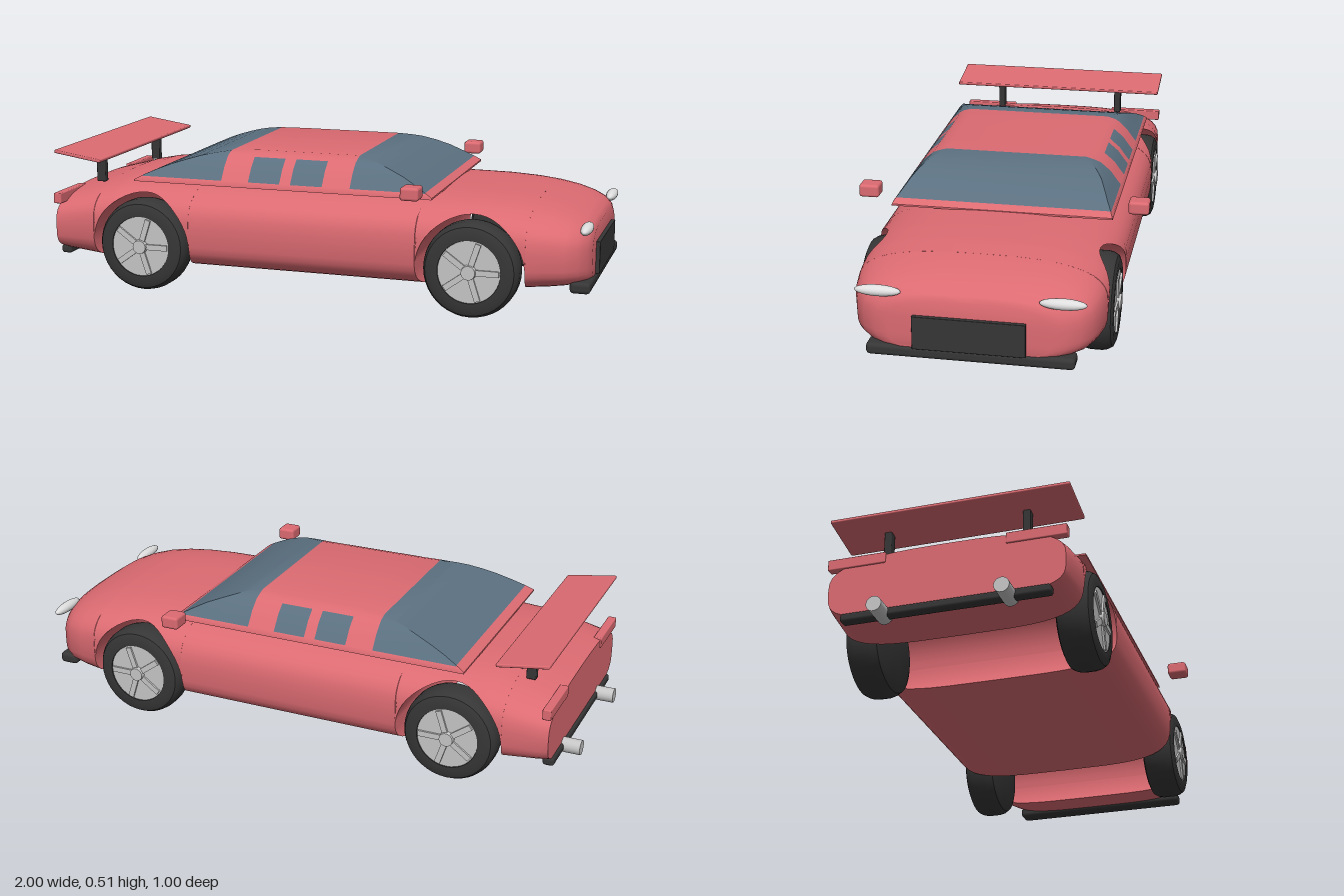
import * as THREE from 'three';
import { toCreasedNormals } from 'three/addons/utils/BufferGeometryUtils.js';
import { RoundedBoxGeometry } from 'three/addons/geometries/RoundedBoxGeometry.js';

const mat = (name, color) => new THREE.MeshStandardMaterial({ name, color });

// Piecewise linear lookup in a table of [key, value, value...]
function look(table, k, col = 1) {
  if (k <= table[0][0]) return table[0][col];
  for (let i = 1; i < table.length; i++) {
    const a = table[i - 1], b = table[i];
    if (k <= b[0]) return a[col] + (b[col] - a[col]) * (k - a[0]) / (b[0] - a[0]);
  }
  return table[table.length - 1][col];
}

// Skin half-rings (+z side, bottom to top), mirrored in z, capped at both ends.
// paint(x, row) gives the material index of each cell.
function loft(halves, paint = () => 0, crease = 0.55) {
  const K = halves[0].length, cells = [[], []];
  const rings = halves.map(h => [...h, ...h.slice().reverse().map(([x, y, z]) => [x, y, -z])]);
  const quad = (m, a, b, c, d) => cells[m].push(...a, ...b, ...c, ...a, ...c, ...d);
  for (let i = 0; i + 1 < rings.length; i++) {
    const r = rings[i], s = rings[i + 1];
    for (let j = 0; j < 2 * K; j++) {
      const n = (j + 1) % (2 * K), row = j < K ? j : 2 * K - 2 - j;
      quad(paint((r[j][0] + s[j][0]) / 2, row), r[j], s[j], s[n], r[n]);
    }
  }
  const first = rings[0], last = rings[rings.length - 1];
  for (let j = 0; j + 1 < K; j++) {
    const q = 2 * K - 1 - j;
    quad(0, first[q], first[j], first[j + 1], first[q - 1]);
    quad(0, last[j], last[q], last[q - 1], last[j + 1]);
  }
  const g = new THREE.BufferGeometry();
  g.setAttribute('position', new THREE.Float32BufferAttribute(cells[0].concat(cells[1]), 3));
  g.addGroup(0, cells[0].length / 3, 0);
  if (cells[1].length) g.addGroup(cells[0].length / 3, cells[1].length / 3, 1);
  return toCreasedNormals(g, crease);
}

// Body stations: x, half width, bottom, top
const BODY = [
  [-0.935, 0.398, 0.11, 0.332], [-0.9, 0.404, 0.104, 0.342], [-0.78, 0.412, 0.088, 0.374],
  [-0.7, 0.418, 0.08, 0.39], [-0.6, 0.422, 0.08, 0.395], [-0.4, 0.425, 0.08, 0.397],
  [0.5, 0.425, 0.08, 0.397], [0.6, 0.423, 0.08, 0.396], [0.7, 0.418, 0.082, 0.391],
  [0.787, 0.41, 0.09, 0.381], [0.85, 0.4, 0.097, 0.369], [0.91, 0.38, 0.104, 0.351],
  [0.95, 0.348, 0.11, 0.335], [0.975, 0.305, 0.114, 0.318], [0.986, 0.262, 0.12, 0.3],
];
const AXLES = [-0.593, 0.6], AXLE_Y = 0.165, ARCH_R = 0.186;

// Rounded half section, optionally cut off below a height
function section(x, cut = 0, xAt = () => x) {
  const [w, lo, hi] = [1, 2, 3].map(c => look(BODY, x, c));
  const mid = (lo + hi) / 2, h = (hi - lo) / 2;
  const power = s => (s < 0 ? 4.2 : 2.9);
  let t0 = -Math.PI / 2;
  if (cut > lo) {
    const s = (cut - mid) / h;
    t0 = Math.asin(Math.sign(s) * Math.abs(s) ** (power(s) / 2));
  }
  const pts = [];
  for (let i = 0; i <= 22; i++) {
    const t = t0 + (Math.PI / 2 - t0) * i / 22, s = Math.sin(t), e = 2 / power(s);
    const y = mid + h * Math.sign(s) * Math.abs(s) ** e;
    pts.push([xAt(y), y, w * Math.max(0, Math.cos(t)) ** e]);
  }
  return pts;
}

// Section whose lower part follows the wheel arch circle
const archEdge = (c, side) => section(c + side * ARCH_R, 0, y =>
  c + side * Math.sqrt(ARCH_R ** 2 - Math.min(0, y - AXLE_Y) ** 2));

const between = (a, b) => BODY.map(s => s[0]).filter(x => x > a + 0.005 && x < b - 0.005).map(x => section(x));

// Cabin profile along x, and half width by height
const ROOF = [[-0.63, 0.399], [-0.6, 0.415], [-0.55, 0.437], [-0.5, 0.456], [-0.45, 0.472], [-0.4, 0.486],
  [-0.35, 0.496], [-0.3, 0.503], [-0.2, 0.507], [-0.085, 0.507], [-0.045, 0.507], [0.07, 0.507], [0.17, 0.507],
  [0.21, 0.502], [0.25, 0.493], [0.3, 0.477], [0.35, 0.458], [0.4, 0.433], [0.435, 0.414], [0.46, 0.399]];
const SIDE = [[0.393, 0.38], [0.405, 0.378], [0.42, 0.365], [0.46, 0.336], [0.48, 0.317], [0.495, 0.292], [0.507, 0.25]];

function cabinSection([x, top]) {
  const sill = Math.min(0.412, top);
  const ys = [0.393, Math.min(0.403, top), sill];
  for (const f of [0.25, 0.5, 0.82, 0.92, 1]) ys.push(sill + (top - sill) * f);
  return ys.map(y => [x, y, look(SIDE, y)]);
}

function cabinPaint(x, row) {
  if (row < 2) return 0;
  const screen = (x > -0.6 && x < -0.3) || (x > 0.17 && x < 0.435);
  const sideWindow = row < 5 && ((x > -0.2 && x < -0.085) || (x > -0.045 && x < 0.07));
  return screen || sideWindow ? 1 : 0;
}

export function createModel() {
  const car = new THREE.Group();
  car.name = 'sportsCar';
  const paint = mat('red paint', 0xdc6b72), glass = mat('tinted glass', 0x5b7080);
  const rubber = mat('black rubber', 0x363636), metal = mat('light metal', 0xc6c6c6), lamp = mat('lamp white', 0xdedede);

  const add = (name, geo, material, x = 0, y = 0, z = 0, parent = car) => {
    const m = new THREE.Mesh(geo, material);
    m.name = name;
    m.position.set(x, y, z);
    parent.add(m);
    return m;
  };
  const block = (name, material, sx, sy, sz, x, y, z, r = 0.006) =>
    add(name, new RoundedBoxGeometry(sx, sy, sz, 2, r), material, x, y, z);

  // Body: solid lengths between the arches, plus the bridges over them
  const [rear, front] = AXLES;
  add('tail', loft([...between(-1, rear - ARCH_R), archEdge(rear, -1)]), paint);
  add('midBody', loft([archEdge(rear, 1), ...between(rear + ARCH_R, front - ARCH_R), archEdge(front, -1)]), paint);
  add('nose', loft([archEdge(front, 1), ...between(front + ARCH_R, 1)]), paint);
  for (const c of AXLES) {
    const rings = [];
    for (let i = 0; i <= 24; i++) {
      const a = Math.PI * i / 24;
      rings.push(section(c - ARCH_R * Math.cos(a), AXLE_Y + ARCH_R * Math.sin(a)));
    }
    add('wheelArch', loft(rings), paint);
  }

  // Cabin with windscreens and side windows
  add('cabin', loft(ROOF.map(cabinSection), cabinPaint, 0.5), [paint, glass]);

  // Wheels
  const tyreProfile = [[0, -0.06], [0.135, -0.06], [0.152, -0.053], [0.161, -0.038], [0.165, -0.02],
    [0.165, 0.02], [0.161, 0.038], [0.152, 0.053], [0.135, 0.06], [0.108, 0.06], [0.106, 0.05], [0, 0.05]];
  const tyreGeo = toCreasedNormals(new THREE.LatheGeometry(tyreProfile.map(p => new THREE.Vector2(...p)), 40), 0.6);
  for (const x of AXLES) for (const side of [1, -1]) {
    const wheel = new THREE.Group();
    wheel.name = 'wheel';
    wheel.position.set(x, AXLE_Y, side * 0.361);
    wheel.rotation.x = side * Math.PI / 2;
    car.add(wheel);
    add('tyre', tyreGeo, rubber, 0, 0, 0, wheel);
    add('rim', new THREE.CylinderGeometry(0.107, 0.107, 0.02, 40), metal, 0, 0.047, 0, wheel);
    add('hub', new THREE.CylinderGeometry(0.024, 0.027, 0.02, 24), metal, 0, 0.062, 0, wheel);
    for (let i = 0; i < 5; i++) {
      const a = i * Math.PI * 2 / 5;
      const spoke = add('spoke', new THREE.BoxGeometry(0.085, 0.008, 0.02), metal,
        0.06 * Math.cos(a), 0.06, -0.06 * Math.sin(a), wheel);
      spoke.rotation.y = a;
    }
  }

  // Nose details
  block('frontBumper', rubber, 0.07, 0.04, 0.67, 0.957, 0.116, 0, 0.014);
  block('grille', rubber, 0.03, 0.112, 0.362, 0.985, 0.189, 0, 0.002);

  // Tail details
  block('rearBumper', rubber, 0.04, 0.03, 0.7, -0.924, 0.115, 0, 0.01);
  const wing = block('wing', paint, 0.182, 0.012, 0.82, -0.837, 0.475, 0, 0.004);
  wing.rotation.z = -0.15;

  // Mirrored details
  for (const s of [1, -1]) {
    add('headlight', new THREE.SphereGeometry(1, 24, 16), lamp, 0.97, 0.313, s * 0.294).scale.set(0.02, 0.018, 0.075);
    block('sideMirror', paint, 0.064, 0.045, 0.07, 0.412, 0.432, s * 0.464, 0.01);
    block('tailLight', paint, 0.03, 0.038, 0.2, -0.925, 0.315, s * 0.303, 0.004);
    block('wingStrut', rubber, 0.034, 0.115, 0.026, -0.822, 0.413, s * 0.24, 0.004);
    add('exhaust', new THREE.CylinderGeometry(0.026, 0.026, 0.1, 24), metal, -0.95, 0.116, s * 0.21).rotation.z = Math.PI / 2;
  }
  return car;
}
